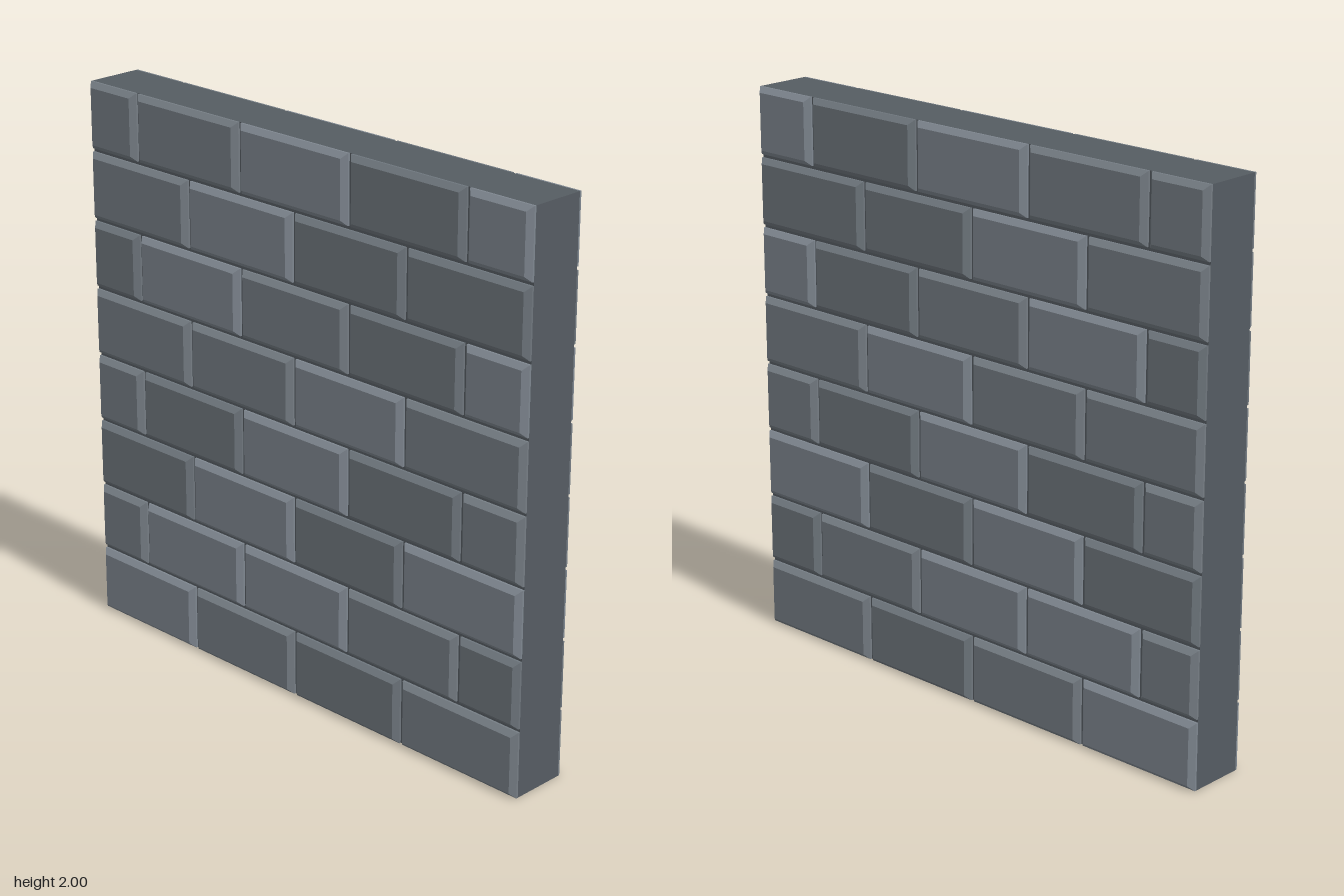
import * as THREE from 'three';

const CORE = 0.1;      // half thickness of the mortar slab
const FACE = 0.125;    // brick face distance from the wall's middle
const BEVEL = 0.018;
const GAP = 0.012;

const TONES = { D: 0x6f777e, M: 0x767e85, L: 0x7f8790 };
// brick tones per course, bottom to top, left to right across the front
const COURSES = ['LMDM', 'MLLMD', 'DLDL', 'MDLDM', 'MMLM', 'DLMDL', 'MLDD', 'MMLDL'];

// Box with a straight foot and a chamfered outer face, sitting on z = 0
function brickGeometry(w, h) {
  const geo = new THREE.BoxGeometry(w, h, 2, 1, 1, 2);
  const p = geo.attributes.position;
  const depth = FACE - CORE;
  for (let i = 0; i < p.count; i++) {
    const z = p.getZ(i);
    if (z > 0.5) {
      p.setX(i, p.getX(i) - Math.sign(p.getX(i)) * BEVEL);
      p.setY(i, p.getY(i) - Math.sign(p.getY(i)) * BEVEL);
      p.setZ(i, depth);
    } else {
      p.setZ(i, z < -0.5 ? 0 : depth - BEVEL);
    }
  }
  const flat = geo.toNonIndexed();
  flat.computeVertexNormals();
  return flat;
}

export function createModel() {
  const wall = new THREE.Group();
  wall.name = 'brickWall';

  // mortar slab
  const core = new THREE.Mesh(
    new THREE.BoxGeometry(2, 2, CORE * 2),
    new THREE.MeshStandardMaterial({ color: 0x555c62 })
  );
  core.name = 'mortarCore';
  core.position.y = 1;
  wall.add(core);

  const materials = {};
  for (const key in TONES) {
    materials[key] = new THREE.MeshStandardMaterial({ color: TONES[key] });
  }

  const front = new THREE.Group();
  front.name = 'frontBricks';
  const back = new THREE.Group();
  back.name = 'backBricks';
  wall.add(front, back);

  // running-bond courses, the same on both faces
  const pitch = (2 + GAP) / COURSES.length;
  const height = pitch - GAP;
  COURSES.forEach((tones, row) => {
    const first = row % 2 ? -0.762 : -0.512;
    const last = tones.length - 1;
    [...tones].forEach((tone, i) => {
      const x0 = i === 0 ? -1 : first + (i - 1) * 0.5 + GAP / 2;
      const x1 = i === last ? 1 : first + i * 0.5 - GAP / 2;
      const brick = new THREE.Mesh(brickGeometry(x1 - x0, height), materials[tone]);
      brick.name = 'brick';
      brick.position.set((x0 + x1) / 2, row * pitch + height / 2, CORE);
      front.add(brick);

      const rear = brick.clone();
      rear.position.z = -CORE;
      rear.rotation.y = Math.PI;
      back.add(rear);
    });
  });

  return wall;
}
